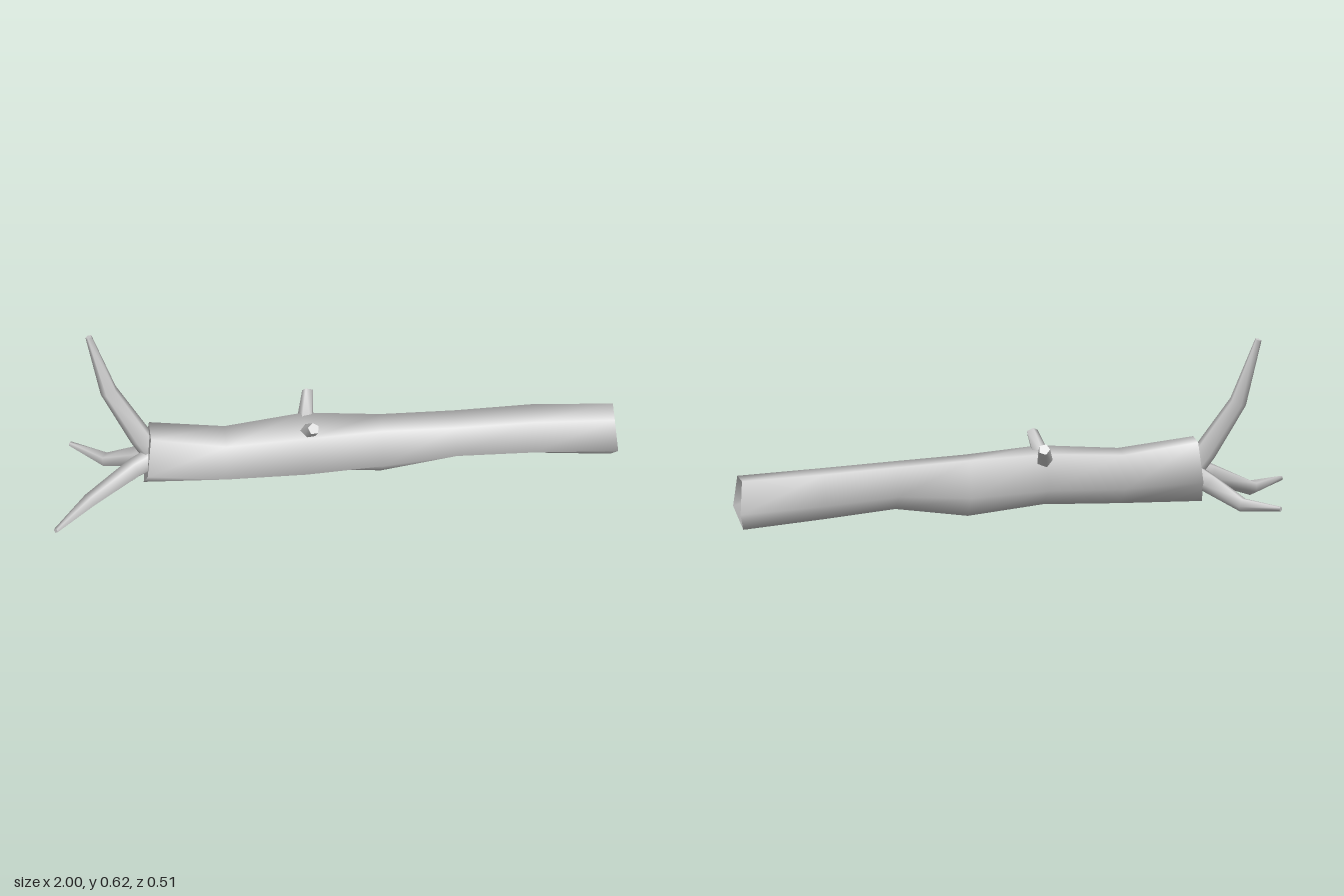
import * as THREE from 'three';

const SIDES = 5;

// Skins a series of five-cornered rings; smooth sides, flat end caps.
function loft(name, material, rings, capStart, capEnd) {
  const pos = [], index = [];
  rings.forEach(ring => ring.forEach(p => pos.push(p.x, p.y, p.z)));
  for (let i = 0; i < rings.length - 1; i++) {
    for (let j = 0; j < SIDES; j++) {
      const a = i * SIDES + j, b = i * SIDES + (j + 1) % SIDES;
      index.push(a, b, a + SIDES, b, b + SIDES, a + SIDES);
    }
  }
  const cap = (ring, flip) => {
    const s = pos.length / 3;
    ring.forEach(p => pos.push(p.x, p.y, p.z));
    for (let j = 1; j < SIDES - 1; j++) {
      if (flip) index.push(s, s + j + 1, s + j);
      else index.push(s, s + j, s + j + 1);
    }
  };
  if (capStart) cap(rings[0], true);
  if (capEnd) cap(rings[rings.length - 1], false);
  const g = new THREE.BufferGeometry();
  g.setAttribute('position', new THREE.Float32BufferAttribute(pos, 3));
  g.setIndex(index);
  g.computeVertexNormals();
  const mesh = new THREE.Mesh(g, material);
  mesh.name = name;
  return mesh;
}

// Pentagon across the trunk, point down, fitted to height and depth limits.
function trunkRing(x, y0, y1, z0, z1, lean = () => 0) {
  const ry = (y1 - y0) / 1.809, rz = (z1 - z0) / 1.902;
  return Array.from({ length: SIDES }, (_, k) => {
    const a = Math.PI + k * Math.PI * 2 / SIDES;
    return new THREE.Vector3(x + lean(Math.cos(a), Math.sin(a)),
      y0 + ry + Math.cos(a) * ry, (z0 + z1) / 2 + Math.sin(a) * rz);
  });
}

// Tapered limb through points [x, y, z, radius].
function limb(name, material, path) {
  const pts = path.map(p => new THREE.Vector3(p[0], p[1], p[2]));
  const up = new THREE.Vector3(0, 0, 1);
  const rings = pts.map((p, i) => {
    const t = pts[Math.min(i + 1, pts.length - 1)].clone().sub(pts[Math.max(i - 1, 0)]).normalize();
    const ref = Math.abs(t.z) > 0.8 ? new THREE.Vector3(0, 1, 0) : up;
    const u = new THREE.Vector3().crossVectors(ref, t).normalize();
    const v = new THREE.Vector3().crossVectors(t, u);
    return Array.from({ length: SIDES }, (_, k) => {
      const a = k * Math.PI * 2 / SIDES;
      return p.clone().addScaledVector(u, Math.cos(a) * path[i][3]).addScaledVector(v, Math.sin(a) * path[i][3]);
    });
  });
  return loft(name, material, rings, true, true);
}

export function createModel() {
  const group = new THREE.Group();
  group.name = 'fallenLog';
  const wood = new THREE.MeshStandardMaterial({ color: 0xcccccc });
  wood.name = 'pale grey wood';

  // Trunk, gently wavering, with a slightly ragged broken end
  const rim = trunkRing(0.99, 0.003, 0.187, -0.187, -0.03, c => (c < -0.9 ? -0.013 : c < 0 ? 0.01 : 0));
  group.add(loft('trunk', wood, [
    trunkRing(-0.655, 0.028, 0.25, -0.11, 0.06, c => c * 0.012),
    trunkRing(-0.38, 0.03, 0.215, -0.12, 0.077),
    trunkRing(-0.1, 0.04, 0.235, -0.163, 0.086),
    trunkRing(0.17, 0.012, 0.221, -0.138, 0.026),
    trunkRing(0.43, 0.05, 0.21, -0.157, 0.01),
    trunkRing(0.7, 0.028, 0.2, -0.188, -0.015),
    rim,
  ], true, false));

  // Hollow in the broken end
  const core = trunkRing(0.955, 0.072, 0.136, -0.139, -0.071);
  group.add(loft('hollowEnd', wood, [rim, core], false, true));

  // Three roots spreading from the base
  group.add(limb('upperRoot', wood, [
    [-0.63, 0.15, -0.03, 0.045], [-0.675, 0.21, -0.045, 0.042],
    [-0.785, 0.39, -0.081, 0.032], [-0.855, 0.617, -0.102, 0.012]]));
  group.add(limb('frontRoot', wood, [
    [-0.62, 0.15, -0.01, 0.042], [-0.7, 0.12, 0.015, 0.038],
    [-0.865, 0.043, 0.092, 0.027], [-0.995, 0.038, 0.25, 0.009]]));
  group.add(limb('backRoot', wood, [
    [-0.62, 0.14, -0.03, 0.042], [-0.69, 0.1, -0.08, 0.036],
    [-0.79, 0.037, -0.15, 0.026], [-0.91, 0.038, -0.25, 0.009]]));

  // Two broken branch stubs on top
  group.add(limb('frontStub', wood, [[-0.1, 0.19, -0.05, 0.034], [-0.075, 0.284, 0.046, 0.021]]));
  group.add(limb('backStub', wood, [[-0.1, 0.185, -0.07, 0.034], [-0.078, 0.271, -0.195, 0.021]]));

  return group;
}
